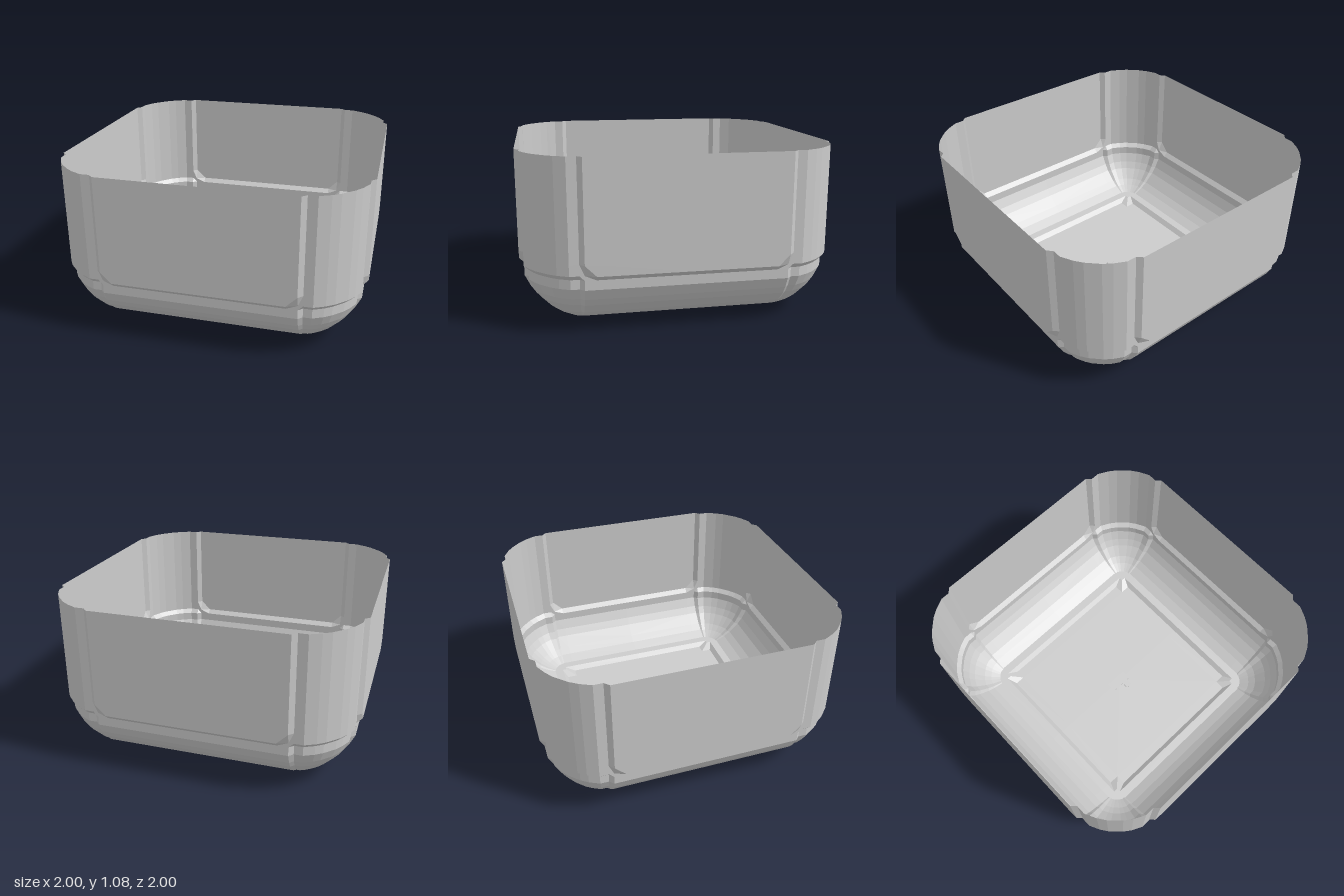
import * as THREE from 'three';

const HEIGHT = 1.08, FLAT = 0.62, CUT = 0.55, R = 0.38;

// Stepped quarter-round shared by upright corners and bottom edges
const ROUND = [
  [0, 0.38], [0.03, 0.35], [0.09, 0.35], [0.16, 0.315], [0.21, 0.28],
  [0.28, 0.21], [0.315, 0.16], [0.35, 0.09], [0.35, 0.03], [0.38, 0],
];

// Quarter outline in plan, from the middle of the front to the middle of the side
const PLAN = [
  { fx: 0, u: 0, fz: FLAT, v: R }, { fx: CUT, u: 0, fz: FLAT, v: R },
  ...ROUND.map(([u, v]) => ({ fx: FLAT, u, fz: FLAT, v })),
  { fx: FLAT, u: R, fz: CUT, v: 0 }, { fx: FLAT, u: R, fz: 0, v: 0 },
];

// Rings from the rim down the wall, round the bottom edge and in to the centre
const RINGS = [
  { y: HEIGHT, r: R }, { y: 0.45, r: R },
  ...ROUND.map(([v, r]) => ({ y: R - v, r })),
  { y: 0, r: 0, limit: CUT }, { y: 0, r: 0, limit: 0 },
];
const WALL_END = 2, WALL_END_2 = PLAN.length - 3;
const WALL_FOOT = 2, FLOOR_EDGE = RINGS.length - 3;

function ringPoint(i, j) {
  const p = PLAN[i], { y, r, limit = 9 } = RINGS[j];
  const pt = new THREE.Vector3(
    Math.min(p.fx + p.u * r / R, limit), y, Math.min(p.fz + p.v * r / R, limit));
  // Clip the corners of the flat wall and floor panels
  if (j === WALL_FOOT && i === WALL_END) pt.z -= 0.03;
  if (j === WALL_FOOT && i === WALL_END_2) pt.x -= 0.03;
  if (j === FLOOR_EDGE && i >= WALL_END && i <= WALL_END_2) pt.y += 0.03;
  return pt;
}

// One quarter of the thin shell, flat faceted
function quarterShell() {
  const pos = [];
  const tri = (a, b, c) => {
    const area = b.clone().sub(a).cross(c.clone().sub(a)).length();
    if (area > 1e-7) for (const p of [a, b, c]) pos.push(p.x, p.y, p.z);
  };
  for (let j = 0; j < RINGS.length - 1; j++) {
    for (let i = 0; i < PLAN.length - 1; i++) {
      const a = ringPoint(i, j), b = ringPoint(i + 1, j);
      const c = ringPoint(i + 1, j + 1), d = ringPoint(i, j + 1);
      if (i < PLAN.length / 2 - 1) { tri(a, d, b); tri(d, c, b); }
      else { tri(a, d, c); tri(a, c, b); }
    }
  }
  const geo = new THREE.BufferGeometry();
  geo.setAttribute('position', new THREE.Float32BufferAttribute(pos, 3));
  geo.computeVertexNormals();
  return geo;
}

export function createModel() {
  const model = new THREE.Group();
  model.name = 'openTub';
  const material = new THREE.MeshStandardMaterial({
    color: 0xcccccc, flatShading: true, side: THREE.DoubleSide,
  });

  // Four equal quarters make the shell
  const shell = new THREE.Group();
  shell.name = 'shell';
  const quarter = quarterShell();
  for (let k = 0; k < 4; k++) {
    const mesh = new THREE.Mesh(quarter, material);
    mesh.name = 'shellQuarter' + (k + 1);
    mesh.rotation.y = k * Math.PI / 2;
    shell.add(mesh);
  }
  model.add(shell);

  // Small flat plate and stud at the middle of the floor
  const plate = new THREE.Mesh(new THREE.BoxGeometry(0.165, 0.004, 0.075), material);
  plate.name = 'floorPlate';
  plate.position.set(-0.018, 0.002, 0.002);
  const stud = new THREE.Mesh(new THREE.CylinderGeometry(0.028, 0.028, 0.004, 6), material);
  stud.name = 'floorStud';
  stud.position.set(0.02, 0.002, 0.066);
  model.add(plate, stud);

  return model;
}
